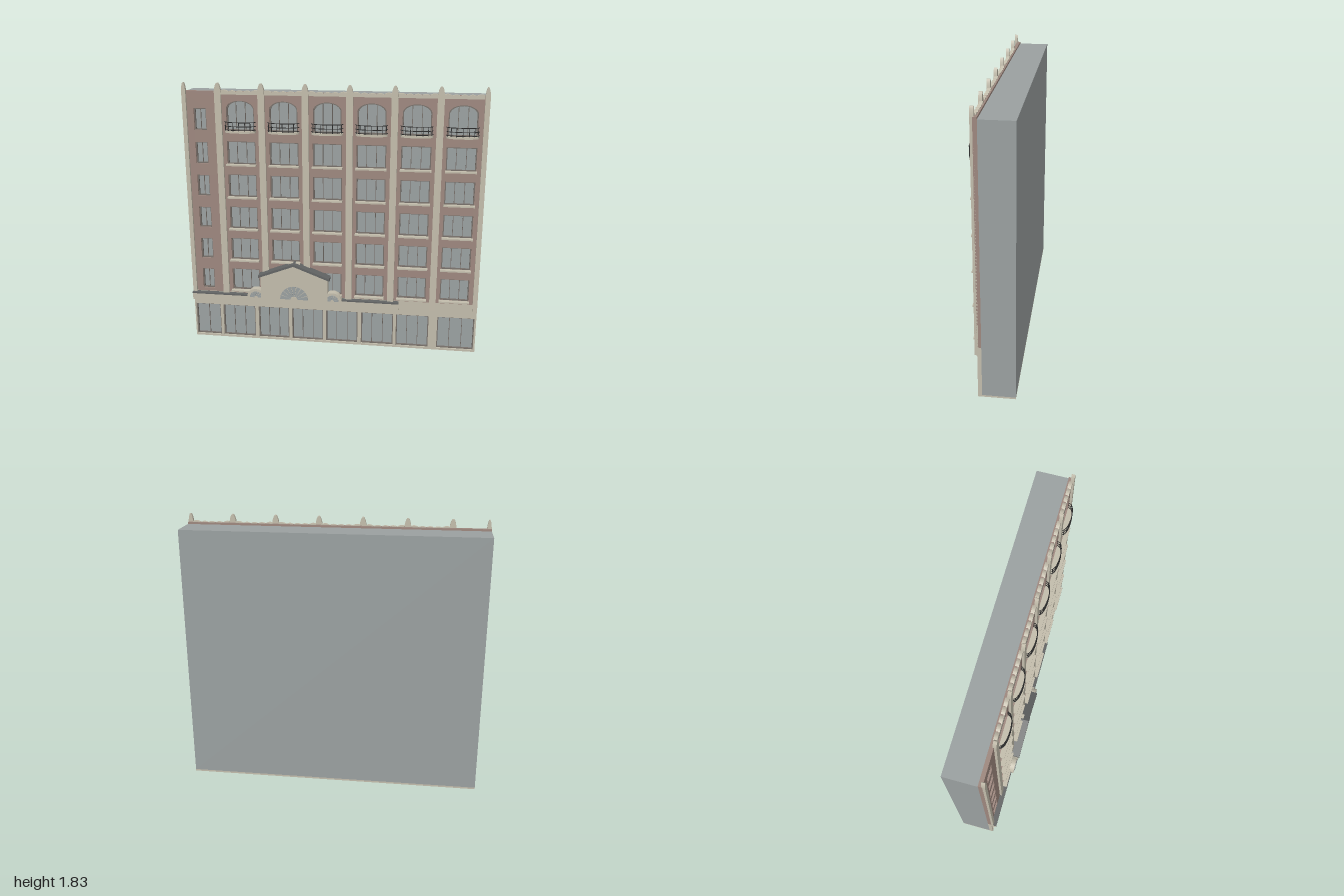
import * as THREE from 'three';

const mat = (name, color, extra = {}) => Object.assign(new THREE.MeshStandardMaterial({ color, ...extra }), { name });

export function createModel() {
  const root = new THREE.Group();
  root.name = 'hotelFacade';
  const stone = mat('stone', 0xc2bcab);
  const brick = mat('brick', 0x9d877e);
  const glass = mat('greyGlass', 0x9aa0a0);
  const frameMat = mat('frameTaupe', 0x77706a);
  const roofMat = mat('roofGrey', 0x626464);
  const iron = mat('iron', 0x2e2e2e);

  const add = (name, geo, m, parent = root) => {
    const mesh = new THREE.Mesh(geo, m);
    mesh.name = name;
    parent.add(mesh);
    return mesh;
  };
  // Box given by its limits
  const box = (name, m, x0, x1, y0, y1, z0, z1, parent) => {
    const g = new THREE.BoxGeometry(x1 - x0, y1 - y0, z1 - z0);
    g.translate((x0 + x1) / 2, (y0 + y1) / 2, (z0 + z1) / 2);
    return add(name, g, m, parent);
  };
  // Flat shape extruded between two depths
  const slab = (name, m, shape, z0, z1, parent) => {
    const g = new THREE.ExtrudeGeometry(shape, { depth: z1 - z0, bevelEnabled: false, curveSegments: 14 });
    g.translate(0, 0, z0);
    return add(name, g, m, parent);
  };
  const poly = (pts) => new THREE.Shape(pts.map(([x, y]) => new THREE.Vector2(x, y)));
  const rect = (x0, x1, y0, y1) => poly([[x0, y0], [x1, y0], [x1, y1], [x0, y1]]);

  // Window outline, with an optional arched head; inset shrinks it
  const outline = (w, inset = 0) => {
    const x0 = w.x - w.w / 2 + inset, x1 = w.x + w.w / 2 - inset;
    const y0 = w.y0 + inset, y1 = w.y1 - inset;
    if (!w.arch) return rect(x0, x1, y0, y1);
    const s = new THREE.Shape();
    s.moveTo(x0, y0);
    s.lineTo(x1, y0);
    s.lineTo(x1, y1 - w.arch);
    s.absellipse(w.x, y1 - w.arch, (x1 - x0) / 2, w.arch, 0, Math.PI, false);
    s.lineTo(x0, y0);
    return s;
  };
  const frame = (w, parent) => {
    const s = outline(w);
    s.holes.push(outline(w, 0.007));
    slab('windowFrame', frameMat, s, 0.055, 0.068, parent);
    for (let i = 1; i < w.panes; i++) {
      const x = w.x - w.w / 2 + (w.w * i) / w.panes;
      box('mullion', frameMat, x - 0.002, x + 0.002, w.y0, w.y1 - 0.006, 0.055, 0.061, parent);
    }
  };

  // Building body; its front shows through the openings as glass
  box('body', glass, -1, 1, 0.012, 1.762, -0.152, 0.055);
  box('footing', stone, -1, 1, 0, 0.012, -0.152, 0.055);

  // Upper floor windows
  const bays = Array.from({ length: 6 }, (_, i) => -0.612 + 0.2905 * i);
  const windows = [];
  for (let r = 0; r < 6; r++) {
    const y = 0.377 + 0.2275 * r;
    windows.push({ x: -0.885, w: 0.084, y0: y, y1: y + 0.147, panes: 2 });
    for (const x of bays) {
      windows.push(r < 5
        ? { x, w: 0.194, y0: y, y1: y + 0.157, panes: 3, sill: true }
        : { x, w: 0.187, y0: 1.515, y1: 1.715, panes: 3, arch: 0.055 });
    }
  }
  const wall = rect(-1, 1, 0.355, 1.775);
  wall.holes.push(...windows.map((w) => outline(w)));
  slab('brickWall', brick, wall, 0.055, 0.08);
  const upper = new THREE.Group();
  upper.name = 'upperWindows';
  root.add(upper);
  for (const w of windows) {
    frame(w, upper);
    if (w.sill) box('sill', stone, w.x - 0.102, w.x + 0.102, w.y0 - 0.006, w.y0 + 0.004, 0.08, 0.112, upper);
  }

  // Shop floor
  const shops = [[-0.99, -0.81, 2], [-0.79, -0.555, 3], [-0.53, -0.31, 3], [-0.288, -0.065, 3],
    [-0.045, 0.18, 3], [0.205, 0.43, 3], [0.45, 0.675, 3], [0.735, 0.988, 3]]
    .map(([a, b, panes]) => ({ x: (a + b) / 2, w: b - a, y0: 0.014, y1: 0.252, panes }));
  const base = rect(-1, 1, 0, 0.355);
  base.holes.push(...shops.map((w) => outline(w)));
  slab('shopFloorWall', stone, base, 0.055, 0.08);
  const shopGroup = new THREE.Group();
  shopGroup.name = 'shopWindows';
  root.add(shopGroup);
  shops.forEach((w) => frame(w, shopGroup));

  // Pillars with pointed tops
  const pillars = [-0.986, -0.756, -0.466, -0.175, 0.116, 0.406, 0.696, 0.984];
  pillars.forEach((x, i) => {
    const h = i === 0 ? 0.014 : i === 7 ? 0.016 : 0.022;
    const s = new THREE.Shape();
    s.moveTo(x - h, 0.3);
    s.lineTo(x + h, 0.3);
    s.lineTo(x + h, 1.775);
    s.quadraticCurveTo(x + h * 0.8, 1.815, x + h * 0.2, 1.83);
    s.lineTo(x - h * 0.2, 1.83);
    s.quadraticCurveTo(x - h * 0.8, 1.815, x - h, 1.775);
    slab('pillar', stone, s, 0.073, 0.095);
  });

  // Scalloped cornice over each main bay
  for (const x of bays) {
    const pts = [[x - 0.125, 1.755], [x + 0.125, 1.755]];
    for (let i = 0; i <= 30; i++) {
      const t = 1 - i / 15;
      pts.push([x + 0.125 * t, 1.773 + 0.008 * Math.abs(Math.cos(t * Math.PI * 2.5)) + 0.008 * t ** 4]);
    }
    slab('cornice', stone, poly(pts), 0.064, 0.087);
  }

  // Bowed balconies
  const bow = (t) => new THREE.Vector2(0.104 * Math.cos(t), 0.08 + 0.043 * Math.sin(t) ** 0.8);
  const arc = Array.from({ length: 17 }, (_, i) => bow((Math.PI * i) / 16));
  for (const x of bays) {
    const g = new THREE.Group();
    g.name = 'balcony';
    g.position.x = x;
    root.add(g);
    const floor = new THREE.ExtrudeGeometry(new THREE.Shape(arc), { depth: 0.014, bevelEnabled: false });
    floor.rotateX(Math.PI / 2);
    floor.translate(0, 1.519, 0);
    add('balconyFloor', floor, stone, g);
    for (const y of [1.525, 1.55, 1.577]) {
      const path = new THREE.CatmullRomCurve3(arc.map((p) => new THREE.Vector3(p.x, y, p.y)));
      add('rail', new THREE.TubeGeometry(path, 24, 0.0025, 4), iron, g);
    }
    for (let i = 1; i < 8; i++) {
      const p = bow((Math.PI * i) / 8);
      box('railPost', iron, p.x - 0.002, p.x + 0.002, 1.519, 1.577, p.y - 0.002, p.y + 0.002, g);
    }
  }

  // Entrance canopy
  box('canopy', stone, -1, 0.465, 0.295, 0.343, 0.08, 0.11);
  box('canopyBand', stone, -1, 0.465, 0.333, 0.343, 0.11, 0.114);
  box('canopyCap', roofMat, -1, -0.58, 0.343, 0.352, 0.08, 0.116);
  box('canopyCap', roofMat, 0.06, 0.465, 0.343, 0.352, 0.08, 0.116);

  // Gable with pitched roof
  const gx = -0.26;
  const gable = poly([[gx - 0.235, 0.34], [gx + 0.235, 0.34], [gx + 0.235, 0.505], [gx, 0.6], [gx - 0.235, 0.505]]);
  slab('gable', stone, gable, 0.08, 0.137);
  const roof = poly([[gx - 0.25, 0.5], [gx, 0.596], [gx + 0.25, 0.5], [gx + 0.25, 0.516], [gx, 0.612], [gx - 0.25, 0.516]]);
  slab('gableRoof', roofMat, roof, 0.08, 0.152);

  // Half-round fan ornaments
  const halfDisc = (x, y, r) => {
    const s = new THREE.Shape();
    s.absarc(x, y, r, 0, Math.PI, false);
    s.closePath();
    return s;
  };
  const fan = (x, r0, r1, n, z) => {
    for (let i = 0; i < n; i++) {
      const a = (Math.PI * (i + 0.08)) / n, b = (Math.PI * (i + 0.92)) / n;
      const s = new THREE.Shape();
      s.absarc(x, 0.345, r1, a, b, false);
      s.absarc(x, 0.345, r0, b, a, true);
      s.closePath();
      slab('fanPane', glass, s, z, z + 0.004);
    }
  };
  fan(gx, 0.025, 0.098, 9, 0.137);
  slab('fanHub', stone, halfDisc(gx, 0.345, 0.022), 0.137, 0.142);
  for (const x of [-0.532, 0.008]) {
    slab('sideRosette', stone, halfDisc(x, 0.342, 0.065), 0.08, 0.131);
    fan(x, 0.013, 0.045, 7, 0.131);
  }
  return root;
}
